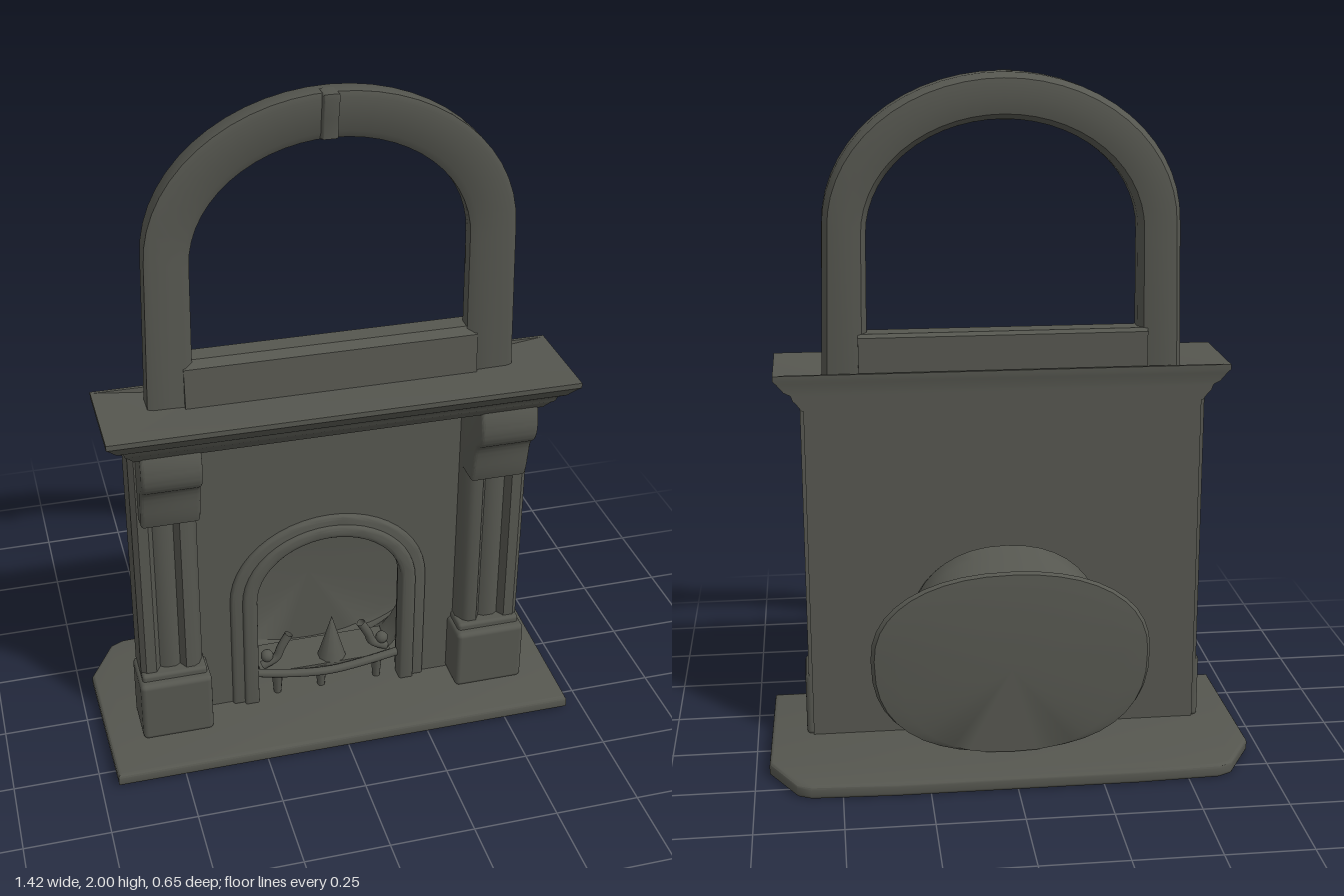
import * as THREE from 'three';
import { toCreasedNormals } from 'three/addons/utils/BufferGeometryUtils.js';
import { RoundedBoxGeometry } from 'three/addons/geometries/RoundedBoxGeometry.js';

const castIron = new THREE.MeshStandardMaterial({ color: 0x55564f, side: THREE.DoubleSide });
castIron.name = 'castIron';

// Joins closed rings of [x, y, z] points; optional fan caps at both ends
function loft(rings, capStart, capEnd) {
  const n = rings[0].length, pos = rings.flat(2), idx = [];
  for (let r = 0; r < rings.length - 1; r++) {
    for (let i = 0; i < n; i++) {
      const a = r * n + i, b = r * n + (i + 1) % n;
      idx.push(a, b, a + n, b, b + n, a + n);
    }
  }
  const cap = (r, flip) => {
    const c = pos.length / 3;
    for (let k = 0; k < 3; k++) pos.push(rings[r].reduce((s, p) => s + p[k], 0) / n);
    for (let i = 0; i < n; i++) {
      const a = r * n + i, b = r * n + (i + 1) % n;
      if (flip) idx.push(c, b, a); else idx.push(c, a, b);
    }
  };
  if (capStart) cap(0, true);
  if (capEnd) cap(rings.length - 1, false);
  const g = new THREE.BufferGeometry();
  g.setAttribute('position', new THREE.Float32BufferAttribute(pos, 3));
  g.setIndex(idx);
  return toCreasedNormals(g, 0.75);
}

const outline = pts => new THREE.Shape(pts.map(p => new THREE.Vector2(p[0], p[1])));

function extrude(shape, depth, bevel = 0) {
  const g = new THREE.ExtrudeGeometry(shape, {
    depth: depth - 2 * bevel, bevelEnabled: bevel > 0, bevelSize: bevel,
    bevelThickness: bevel, bevelOffset: -bevel, bevelSegments: 3, curveSegments: 20,
  });
  g.translate(0, 0, bevel);
  return toCreasedNormals(g, 0.6);
}

// Doorway outline: straight jambs with an elliptical head
function archPoints(w, spring, rise, bottom, steps = 24) {
  const pts = [[w, bottom]];
  for (let i = 0; i <= steps; i++) {
    const a = Math.PI * i / steps;
    pts.push([w * Math.cos(a), spring + rise * Math.sin(a)]);
  }
  pts.push([-w, bottom]);
  return pts;
}

export function createModel() {
  const model = new THREE.Group();
  model.name = 'fireplace';
  const add = (name, geometry, x = 0, y = 0, z = 0) => {
    const m = new THREE.Mesh(geometry, castIron);
    m.name = name;
    m.position.set(x, y, z);
    model.add(m);
    return m;
  };

  // Hearth slab with clipped back corners
  const slab = extrude(outline([
    [-0.70, 0.32], [-0.71, -0.16], [-0.63, -0.30], [-0.59, -0.32], [-0.35, -0.33],
    [0.35, -0.33], [0.59, -0.32], [0.63, -0.30], [0.71, -0.16], [0.70, 0.32],
  ]), 0.04, 0.01);
  slab.rotateX(Math.PI / 2);
  add('hearth', slab, 0, 0.045, 0);

  // Chimney breast wall with an arched opening
  const wall = outline([[-0.58, 0.04], [0.58, 0.04], [0.58, 1.1], [-0.58, 1.1]]);
  wall.holes.push(outline(archPoints(0.235, 0.42, 0.205, 0.045)));
  add('wall', extrude(wall, 0.06), 0, 0, 0.015);

  // Raised moulding around the opening, in two steps
  [[0.305, 0.265, 0.05], [0.27, 0.235, 0.062]].forEach(([w, rise, d]) => {
    const inner = archPoints(0.225, 0.42, 0.195, 0.04).reverse();
    add('openingMoulding', extrude(outline([...archPoints(w, 0.42, rise, 0.04), ...inner]), d, 0.012), 0, 0, 0.04);
  });

  // Firebox shell swelling into a rounded back: [z, half width, top]
  const fireboxRings = [
    [0.02, 0.29, 0.62], [-0.01, 0.292, 0.635], [-0.05, 0.285, 0.62], [-0.09, 0.295, 0.585],
    [-0.125, 0.34, 0.58], [-0.152, 0.41, 0.605], [-0.168, 0.40, 0.60], [-0.176, 0.33, 0.54],
  ].map(([z, w, top]) => {
    const ring = [], mid = 0.35;
    for (let i = 0; i < 40; i++) {
      const a = -Math.PI * 2 * i / 40, c = Math.cos(a), s = Math.sin(a);
      const e = s < 0 ? 0.8 : 0.9;
      ring.push([
        w * Math.sign(c) * Math.abs(c) ** e,
        mid + Math.sign(s) * Math.abs(s) ** e * (s < 0 ? mid - 0.05 : top - mid), z,
      ]);
    }
    return ring;
  });
  add('firebox', loft(fireboxRings, false, true));

  // Side columns: plinth, fluted pilaster and scrolled bracket
  for (const side of [-1, 1]) {
    add('plinth', new RoundedBoxGeometry(0.215, 0.2, 0.16, 2, 0.015), side * 0.4925, 0.14, 0.1);
    add('plinthCap', new RoundedBoxGeometry(0.195, 0.03, 0.135, 2, 0.01), side * 0.4925, 0.245, 0.0875);
    const pilaster = extrude(outline([
      [0.40, 0.02], [0.40, 0.10], [0.415, 0.13], [0.43, 0.14], [0.455, 0.14], [0.47, 0.115], [0.485, 0.125],
      [0.515, 0.125], [0.53, 0.115], [0.545, 0.14], [0.575, 0.14], [0.59, 0.125], [0.59, 0.02],
    ].map(([x, z]) => [side * x, z])), 0.86);
    pilaster.rotateX(Math.PI / 2);
    add('pilaster', pilaster, 0, 1.08, 0);

    const bracket = new THREE.Shape();
    bracket.moveTo(0.05, 1.08);
    bracket.lineTo(0.23, 1.08);
    bracket.bezierCurveTo(0.26, 1.02, 0.255, 0.96, 0.225, 0.94);
    bracket.bezierCurveTo(0.19, 0.92, 0.20, 0.86, 0.178, 0.80);
    bracket.lineTo(0.05, 0.80);
    const scroll = extrude(bracket, 0.17, 0.01);
    scroll.rotateY(-Math.PI / 2);
    add('bracket', scroll, side * 0.485 + 0.085, 0, 0);
  }

  // Mantel shelf: stepped cornice and a slightly dished top
  const shelfRing = ([y, w, front, back]) => [
    [-w, y, back], [-w, y, front], [w, y, front], [w, y, back],
  ];
  add('mantelShelf', loft([
    [1.055, 0.585, 0.235, 0.015], [1.075, 0.60, 0.25, 0.015], [1.085, 0.61, 0.26, 0.015],
    [1.10, 0.615, 0.265, 0.015], [1.11, 0.635, 0.28, 0.015], [1.135, 0.655, 0.30, 0.012],
    [1.145, 0.665, 0.31, 0.01], [1.16, 0.665, 0.31, 0.01], [1.16, 0.655, 0.30, 0.02],
    [1.135, 0.42, 0.14, 0.025],
  ].map(shelfRing), true, true));

  // Low board standing on the shelf between the arch legs
  const board = extrude(outline([
    [0.03, 1.12], [0.13, 1.12], [0.12, 1.25], [0.10, 1.27], [0.04, 1.27], [0.03, 1.26],
  ]), 0.84);
  board.rotateY(-Math.PI / 2);
  add('backBoard', board, 0.42, 0, 0);

  // Overmantel arch: rounded section, [inner to outer, z]
  const section = [
    [1, 0.065], [0.88, 0.04], [0.5, 0.03], [0.12, 0.04], [0, 0.065],
    [0, 0.105], [0.15, 0.116], [0.5, 0.122], [0.88, 0.13], [1, 0.125],
  ];
  const archRing = (inner, outer) => section.map(([t, z]) => [
    inner[0] + (outer[0] - inner[0]) * t, inner[1] + (outer[1] - inner[1]) * t, z,
  ]);
  const archRings = [archRing([0.395, 1.13], [0.525, 1.13])];
  for (let i = 0; i <= 28; i++) {
    const a = Math.PI * i / 28, c = Math.cos(a), s = Math.sin(a);
    archRings.push(archRing([0.39 * c, 1.55 + 0.32 * s], [0.513 * c, 1.575 + 0.425 * s]));
  }
  archRings.push(archRing([-0.395, 1.13], [-0.525, 1.13]));
  add('overmantelArch', loft(archRings, true, true));

  // Keystone at the crown
  const keystone = extrude(outline([
    [0.10, 1.865], [0.13, 1.875], [0.135, 1.93], [0.147, 1.985], [0.145, 2.0], [0.09, 2.0],
  ]), 0.045, 0.006);
  keystone.rotateY(-Math.PI / 2);
  add('keystone', keystone, 0.01, 0, 0);

  // Fire grate: sagging rail, feet, andirons and centre flame
  const tube = (pts, r) => new THREE.TubeGeometry(
    new THREE.CatmullRomCurve3(pts.map(p => new THREE.Vector3(...p))), 24, r, 8);
  add('grateRail', tube([[-0.235, 0.13, 0.06], [-0.1, 0.115, 0.075], [0, 0.11, 0.08], [0.1, 0.115, 0.075], [0.235, 0.125, 0.06]], 0.013));
  add('grateFloor', new THREE.BoxGeometry(0.42, 0.015, 0.14), 0, 0.115, -0.01);
  for (const x of [-0.16, -0.02, 0.16]) {
    add('grateFoot', new THREE.CylinderGeometry(0.018, 0.012, 0.07, 8), x, 0.08, 0.06);
  }
  for (const s of [-1, 1]) {
    add('andiron', tube([[s * 0.2, 0.13, 0.03], [s * 0.155, 0.155, 0.03], [s * 0.14, 0.19, 0.03], [s * 0.115, 0.235, 0.03]], 0.014));
    add('andironKnob', new THREE.SphereGeometry(0.02, 10, 8), s * 0.185, 0.165, 0.03);
  }
  add('flame', new THREE.ConeGeometry(0.045, 0.15, 10), 0.025, 0.195, 0.02);

  return model;
}
